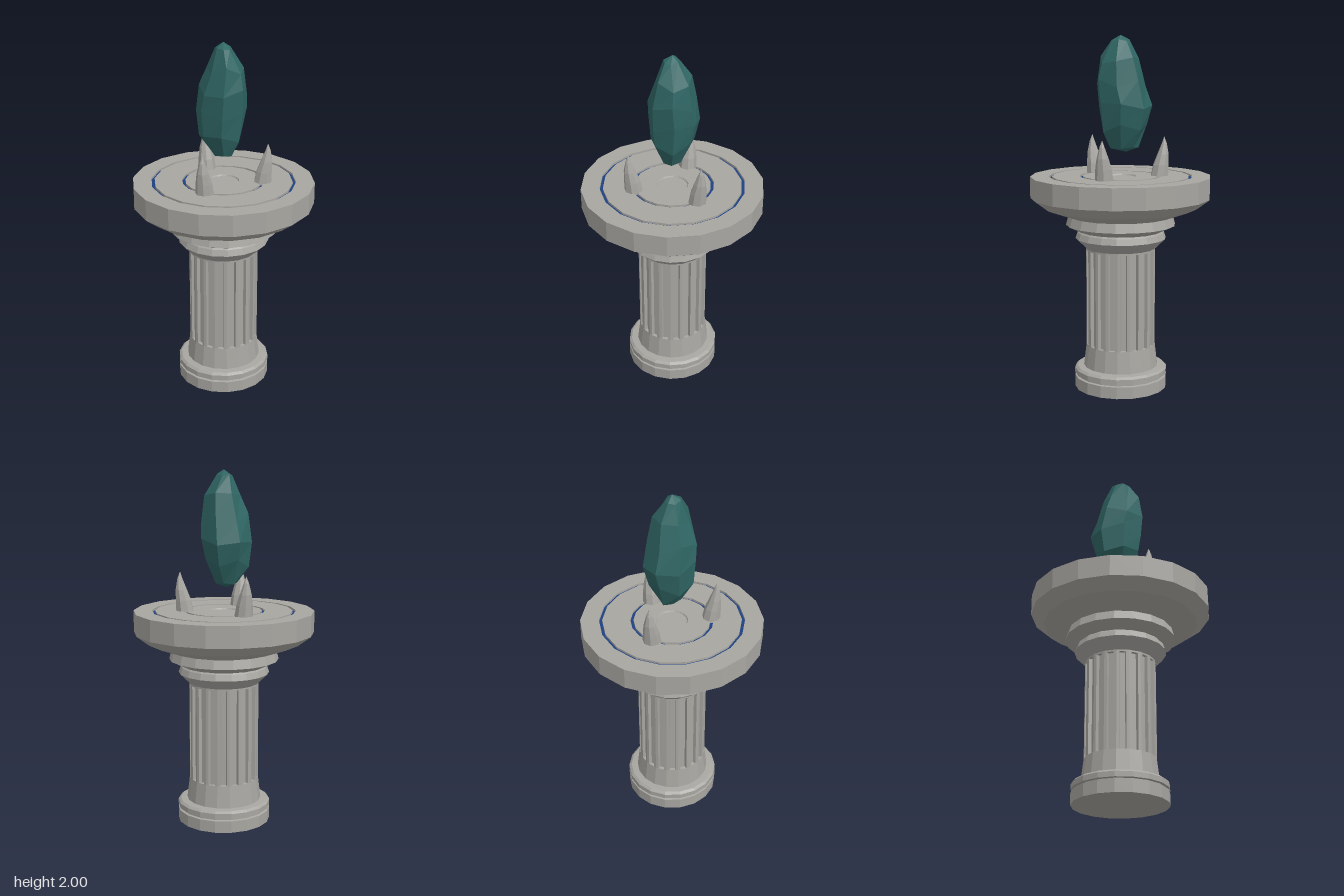
import * as THREE from 'three';

const SIDES = 18;

const stone = new THREE.MeshStandardMaterial({ color: 0xa8a6a1 });
stone.name = 'stone';
const inlayBlue = new THREE.MeshStandardMaterial({ color: 0x1f4182 });
inlayBlue.name = 'inlayBlue';
const crystalTeal = new THREE.MeshStandardMaterial({ color: 0x2f6664 });
crystalTeal.name = 'crystalTeal';

// Split shared corners so every facet is shaded flat
function faceted(geometry) {
  const g = geometry.index ? geometry.toNonIndexed() : geometry;
  g.computeVertexNormals();
  return g;
}

function part(name, geometry, material) {
  const mesh = new THREE.Mesh(faceted(geometry), material);
  mesh.name = name;
  return mesh;
}

// Turned part from [radius, y] pairs, listed from the bottom up
function turned(name, profile, material) {
  const points = profile.map(([r, y]) => new THREE.Vector2(r, y));
  return part(name, new THREE.LatheGeometry(points, SIDES), material);
}

// Skin over rings of points, closed by a point at the bottom and the top
function loft(bottom, rings, top) {
  const n = rings[0].length;
  const positions = [bottom, ...rings.flat(), top].flat();
  const last = rings.length * n + 1;
  const at = (r, k) => 1 + r * n + (k % n);
  const index = [];
  for (let k = 0; k < n; k++) {
    index.push(0, at(0, k + 1), at(0, k));
    for (let r = 0; r < rings.length - 1; r++) {
      index.push(at(r, k), at(r, k + 1), at(r + 1, k + 1));
      index.push(at(r, k), at(r + 1, k + 1), at(r + 1, k));
    }
    index.push(at(rings.length - 1, k), at(rings.length - 1, k + 1), last);
  }
  const g = new THREE.BufferGeometry();
  g.setAttribute('position', new THREE.Float32BufferAttribute(positions, 3));
  g.setIndex(index);
  return g;
}

// Column shaft with one recessed flute on each of its faces
function flutedShaft(radius, bottom, top) {
  const corner = (i) => {
    const a = (i / SIDES) * Math.PI * 2;
    return new THREE.Vector2(Math.sin(a), -Math.cos(a)).multiplyScalar(radius);
  };
  const points = [];
  for (let i = 0; i < SIDES; i++) {
    const a = corner(i), b = corner(i + 1);
    const along = (t, scale) => a.clone().lerp(b, t).multiplyScalar(scale);
    points.push(a, along(0.23, 1), along(0.27, 0.9), along(0.73, 0.9), along(0.77, 1));
  }
  const g = new THREE.ExtrudeGeometry(new THREE.Shape(points), { depth: top - bottom, bevelEnabled: false });
  return g.rotateX(-Math.PI / 2).translate(0, bottom, 0);
}

// Horn that bends outward along +z; sections are [y, centre z, radius]
function clawGeometry() {
  const sections = [[1.21, 0.218, 0.052], [1.28, 0.227, 0.045], [1.34, 0.239, 0.033], [1.4, 0.246, 0.015]];
  const n = 8;
  const rings = sections.map(([y, z, r]) => Array.from({ length: n }, (_, k) => {
    const a = ((k + 0.5) / n) * Math.PI * 2;
    return [Math.sin(a) * r, y, z + Math.cos(a) * r];
  }));
  return loft([0, 1.21, 0.218], rings, [0, 1.44, 0.245]);
}

// Seven-sided uneven gem; sections are [y, x min, x max, z min, z max]
function crystalGeometry() {
  const sections = [
    [1.378, -0.055, 0.05, -0.1, 0.06],
    [1.49, -0.125, 0.11, -0.15, 0.1],
    [1.62, -0.137, 0.137, -0.177, 0.115],
    [1.74, -0.13, 0.125, -0.14, 0.127],
    [1.86, -0.088, 0.105, -0.1, 0.108],
    [1.97, -0.045, 0.035, -0.05, 0.05],
  ];
  const n = 7;
  const rings = sections.map(([y, x0, x1, z0, z1], s) => Array.from({ length: n }, (_, k) => {
    const a = Math.PI + (k / n) * Math.PI * 2;
    const u = (Math.sin(a) / 0.975 + 1) / 2;
    const v = (Math.cos(a) + 1) / 1.901;
    const wobble = (s === 0 || s === 5 ? 0.005 : 0.025) * Math.sin(k * 2.4 + s * 1.7);
    return [x0 + (x1 - x0) * u, y + wobble, z0 + (z1 - z0) * v];
  }));
  return loft([0, 1.355, -0.03], rings, [0, 2, 0]);
}

export function createModel() {
  const model = new THREE.Group();
  model.name = 'crystalPedestal';

  // Foot with a thin groove and a flared collar
  model.add(turned('base', [
    [0, 0], [0.264, 0], [0.264, 0.067], [0.25, 0.07], [0.25, 0.078], [0.264, 0.081],
    [0.264, 0.11], [0.25, 0.122], [0.212, 0.125], [0.197, 0.25], [0, 0.25],
  ], stone));

  model.add(part('flutedColumn', flutedShaft(0.197, 0.25, 0.805), stone));

  // Two stepped mouldings under the dish
  model.add(turned('capital', [
    [0, 0.8], [0.197, 0.8], [0.197, 0.81], [0.257, 0.868], [0.245, 0.902], [0.237, 0.91],
    [0.31, 0.945], [0.295, 0.998], [0, 0.998],
  ], stone));

  // Dish with two ring grooves and a shallow middle recess
  const top = 1.22, floor = 1.206;
  const grooves = [[0.404, 0.386], [0.231, 0.213]];
  const dish = [[0, 0.995], [0.295, 0.995], [0.435, 1.045], [0.508, 1.1], [0.508, top]];
  for (const [outer, inner] of grooves) {
    dish.push([outer, top], [outer, floor], [inner, floor], [inner, top]);
  }
  dish.push([0.088, top], [0.083, 1.212], [0, 1.212]);
  model.add(turned('dish', dish, stone));

  grooves.forEach(([outer, inner], i) => {
    const y = floor + 0.002;
    model.add(turned(i ? 'innerInlay' : 'outerInlay', [[outer, y], [inner, y]], inlayBlue));
  });

  // Three claws around the crystal
  [180, 61, -53].forEach((degrees, i) => {
    const claw = part(['backClaw', 'leftClaw', 'rightClaw'][i], clawGeometry(), stone);
    claw.rotation.y = THREE.MathUtils.degToRad(degrees);
    model.add(claw);
  });

  model.add(part('crystal', crystalGeometry(), crystalTeal));

  return model;
}
